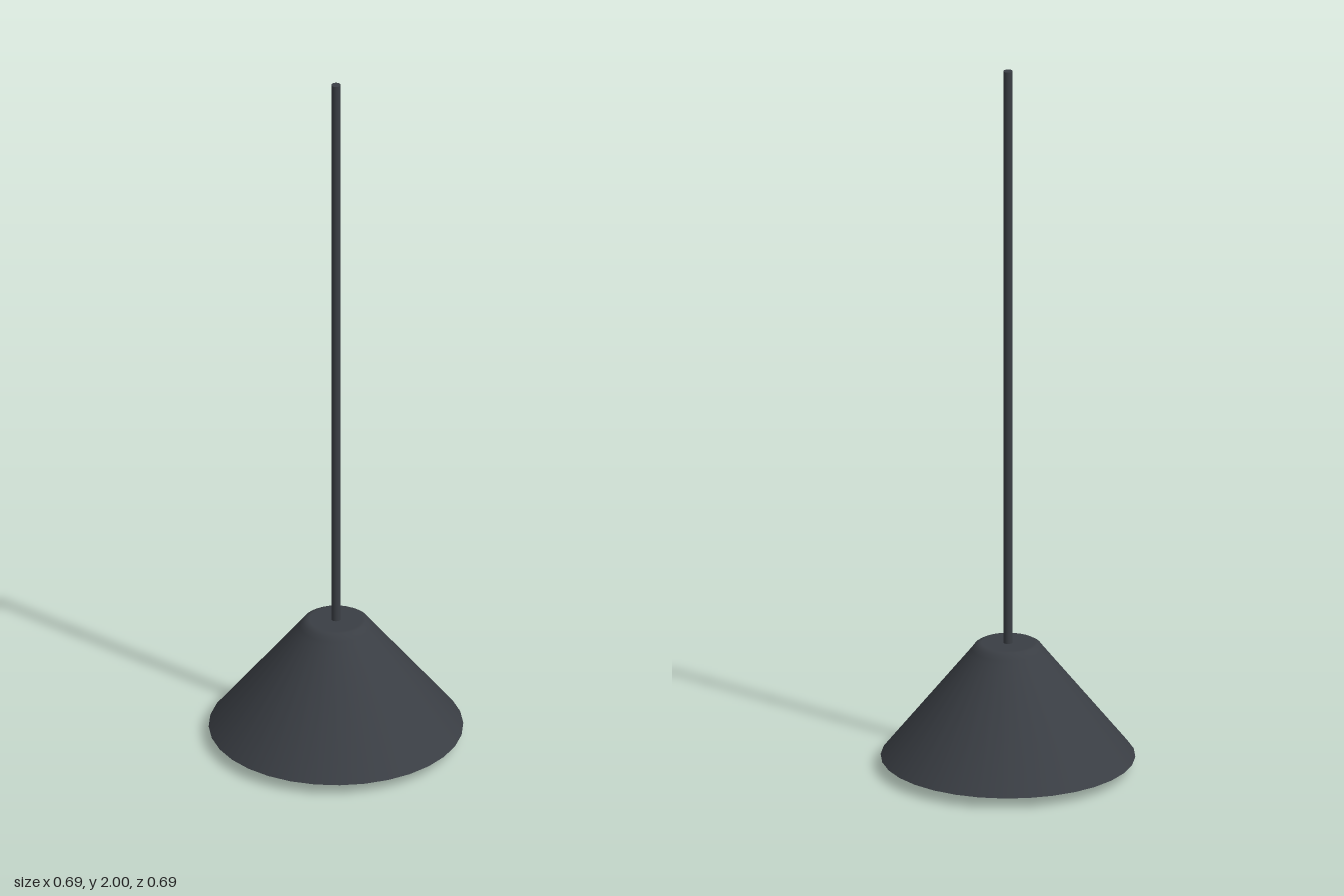
import * as THREE from 'three';

export function createModel() {
  const group = new THREE.Group();
  const charcoal = new THREE.MeshStandardMaterial({ color: 0x3a3e44 });
  charcoal.name = 'charcoal';
  const warmGlass = new THREE.MeshStandardMaterial({ color: 0xe6c38a });
  warmGlass.name = 'warm glass';

  const add = (name, geometry, material, y = 0) => {
    const mesh = new THREE.Mesh(geometry, material);
    mesh.name = name;
    mesh.position.y = y;
    group.add(mesh);
    return mesh;
  };

  const rim = 0.345, rimY = 0.03, topY = 0.355, sides = 32;

  // Conical shade with a softly rounded shoulder and flat top
  const profile = [
    [rim, rimY], [0.106, 0.327], [0.098, 0.337], [0.09, 0.348],
    [0.08, 0.354], [0.072, topY], [0, topY],
  ].map(([x, y]) => new THREE.Vector2(x, y));
  add('shade', new THREE.LatheGeometry(profile, sides), charcoal);

  // Flat plate closing the underside
  add('shadeUnderside', new THREE.CircleGeometry(rim, sides).rotateX(Math.PI / 2), charcoal, rimY);

  // Bulb: the shallow bottom cap of a sphere showing below the plate
  const bulbRadius = 0.094;
  add('bulb', new THREE.SphereGeometry(bulbRadius, 32, 10, 0, Math.PI * 2, Math.PI * 0.7, Math.PI * 0.3),
    warmGlass, bulbRadius);

  // Hanging rod
  const rodLength = 2 - topY + 0.01;
  add('rod', new THREE.CylinderGeometry(0.0125, 0.0125, rodLength, 24), charcoal, 2 - rodLength / 2);

  return group;
}
